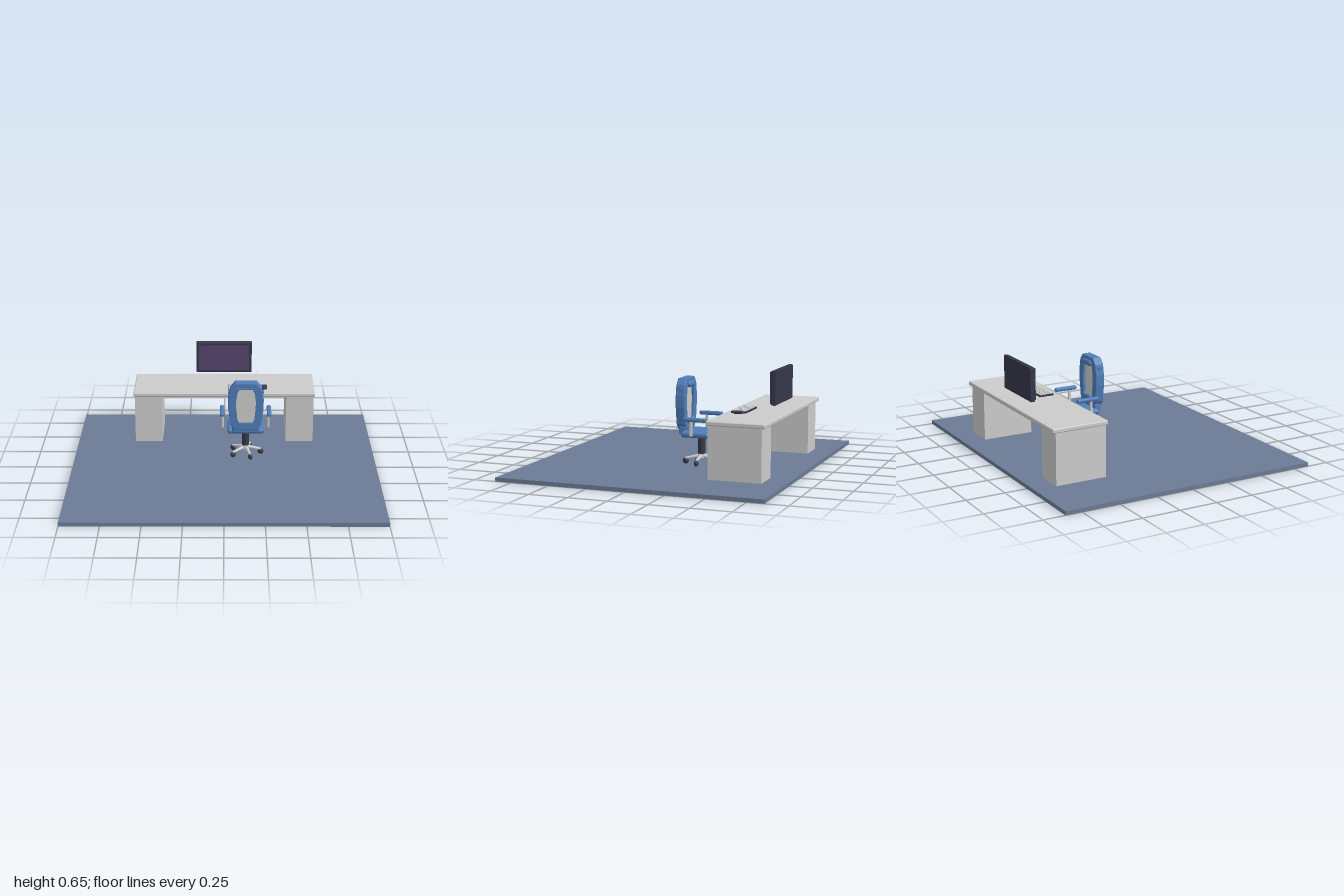
import * as THREE from 'three';
import { RoundedBoxGeometry } from 'three/addons/geometries/RoundedBoxGeometry.js';

const mat = (color) => new THREE.MeshStandardMaterial({ color });
const grey = mat(0xcccccc), floorBlue = mat(0x6b7b95), blue = mat(0x4f7db8);
const dark = mat(0x35374a), purple = mat(0x54466b);

function add(parent, name, geometry, material, x = 0, y = 0, z = 0) {
  const mesh = new THREE.Mesh(geometry, material);
  mesh.name = name;
  mesh.position.set(x, y, z);
  parent.add(mesh);
  return mesh;
}

// Box given by its extents on each axis, rounded when r > 0
function block(parent, name, material, [x0, x1], [y0, y1], [z0, z1], r = 0) {
  const size = [x1 - x0, y1 - y0, z1 - z0];
  const geometry = r ? new RoundedBoxGeometry(...size, 3, r) : new THREE.BoxGeometry(...size);
  return add(parent, name, geometry, material, (x0 + x1) / 2, (y0 + y1) / 2, (z0 + z1) / 2);
}

// Right half of an outline, mirrored to a closed list of points
const mirrored = (half) => [...half, ...half.map(([x, y]) => [-x, y]).reverse()]
  .map(([x, y]) => new THREE.Vector2(x, y));

function plate(outline, hole, depth, bevel = 0) {
  const shape = new THREE.Shape(mirrored(outline));
  if (hole) shape.holes.push(new THREE.Path(mirrored(hole)));
  return new THREE.ExtrudeGeometry(shape, {
    depth: depth - 2 * bevel, bevelEnabled: bevel > 0, bevelSize: bevel,
    bevelThickness: bevel, bevelOffset: -bevel, bevelSegments: 2,
  }).translate(0, 0, bevel);
}

function createDesk() {
  const desk = new THREE.Group();
  desk.name = 'desk';
  block(desk, 'deskTop', grey, [-0.618, 0.615], [0.355, 0.384], [-0.737, -0.362], 0.008);
  block(desk, 'rightPedestal', grey, [-0.61, -0.425], [0.025, 0.357], [-0.715, -0.375]);
  block(desk, 'leftPedestal', grey, [0.42, 0.606], [0.025, 0.357], [-0.715, -0.375]);
  return desk;
}

function createMonitor() {
  const monitor = new THREE.Group();
  monitor.name = 'monitor';
  block(monitor, 'monitorCase', dark, [-0.195, 0.188], [0.432, 0.65], [-0.672, -0.643], 0.004);
  // Bezel bars round the screen
  block(monitor, 'bezelTop', dark, [-0.184, 0.177], [0.632, 0.641], [-0.645, -0.632]);
  block(monitor, 'bezelBottom', dark, [-0.184, 0.177], [0.441, 0.45], [-0.645, -0.632]);
  block(monitor, 'bezelRight', dark, [-0.184, -0.176], [0.441, 0.641], [-0.645, -0.632]);
  block(monitor, 'bezelLeft', dark, [0.169, 0.177], [0.441, 0.641], [-0.645, -0.632]);
  block(monitor, 'screen', purple, [-0.178, 0.171], [0.448, 0.634], [-0.645, -0.634]);
  return monitor;
}

function createKeyboard() {
  const keyboard = new THREE.Group();
  keyboard.name = 'keyboard';
  block(keyboard, 'keyboardBase', dark, [0.028, 0.253], [0.383, 0.395], [-0.5, -0.403]);
  for (let row = 0; row < 5; row++) {
    for (let col = 0; col < 12; col++) {
      const x = 0.032 + col * 0.0182, z = -0.495 + row * 0.0178;
      block(keyboard, 'key', grey, [x, x + 0.0145], [0.394, 0.4], [z, z + 0.014]);
    }
  }
  block(keyboard, 'mouse', dark, [0.256, 0.29], [0.383, 0.402], [-0.488, -0.428], 0.008);
  return keyboard;
}

function createChair() {
  const chair = new THREE.Group();
  chair.name = 'chair';
  chair.position.set(0.141, 0, -0.168);

  // Five-legged base with casters
  add(chair, 'hub', new THREE.CylinderGeometry(0.025, 0.028, 0.025, 20), grey, 0, 0.079, 0);
  for (let i = 0; i < 5; i++) {
    const arm = new THREE.Group();
    arm.name = 'baseArm';
    arm.rotation.y = (i * Math.PI * 2) / 5;
    const leg = add(arm, 'leg', new THREE.CylinderGeometry(0.008, 0.013, 0.1, 10), grey, 0.056, 0.069, 0);
    leg.rotation.z = -Math.PI / 2 - 0.2;
    const caster = add(arm, 'caster', new THREE.SphereGeometry(0.02, 16, 12), dark, 0.102, 0.044, 0);
    caster.scale.z = 0.7;
    chair.add(arm);
  }
  add(chair, 'column', new THREE.CylinderGeometry(0.023, 0.023, 0.125, 20), dark, 0, 0.148, 0);

  // Seat and armrests
  block(chair, 'seat', blue, [-0.121, 0.121], [0.207, 0.245], [-0.086, 0.102], 0.018);
  for (const s of [-1, 1]) {
    add(chair, 'armPost', new RoundedBoxGeometry(0.016, 0.1, 0.018, 2, 0.005), grey, s * 0.152, 0.273, 0.018);
    add(chair, 'armPad', new RoundedBoxGeometry(0.029, 0.026, 0.158, 3, 0.01), blue, s * 0.156, 0.331, -0.009);
  }

  // Backrest frame around a light panel
  const outline = [[0.075, 0.255], [0.1, 0.29], [0.116, 0.4], [0.116, 0.47], [0.103, 0.54], [0.07, 0.58]];
  const hole = [[0.045, 0.305], [0.056, 0.33], [0.064, 0.41], [0.064, 0.46], [0.056, 0.515], [0.042, 0.54]];
  const rim = [[0.058, 0.275], [0.074, 0.31], [0.084, 0.4], [0.084, 0.46], [0.074, 0.515], [0.055, 0.55]];
  add(chair, 'backFrame', plate(outline, hole, 0.062, 0.006), blue, 0, 0, 0.074);
  add(chair, 'backRim', plate(rim, hole, 0.012), blue, 0, 0, 0.132);
  add(chair, 'backPanel', plate(hole, null, 0.04), grey, 0, 0, 0.092);
  block(chair, 'backBracket', blue, [-0.09, 0.09], [0.225, 0.275], [0.078, 0.125], 0.01);
  // Head and lumbar rolls on the sitter's side
  for (const y of [0.54, 0.305]) {
    const roll = add(chair, 'cushionRoll', new THREE.CapsuleGeometry(0.02, 0.075, 6, 12), blue, 0, y, 0.07);
    roll.rotation.z = Math.PI / 2;
    roll.scale.z = 0.65;
  }
  for (const s of [-1, 1]) {
    const knob = add(chair, 'sideKnob', new THREE.CylinderGeometry(0.013, 0.013, 0.014, 16), blue, s * 0.11, 0.512, 0.103);
    knob.rotation.z = Math.PI / 2;
  }
  return chair;
}

export function createModel() {
  const model = new THREE.Group();
  model.name = 'officeWorkstation';
  block(model, 'floor', floorBlue, [-1, 1], [0, 0.025], [-0.857, 0.857]);
  model.add(createDesk(), createMonitor(), createKeyboard(), createChair());
  return model;
}
